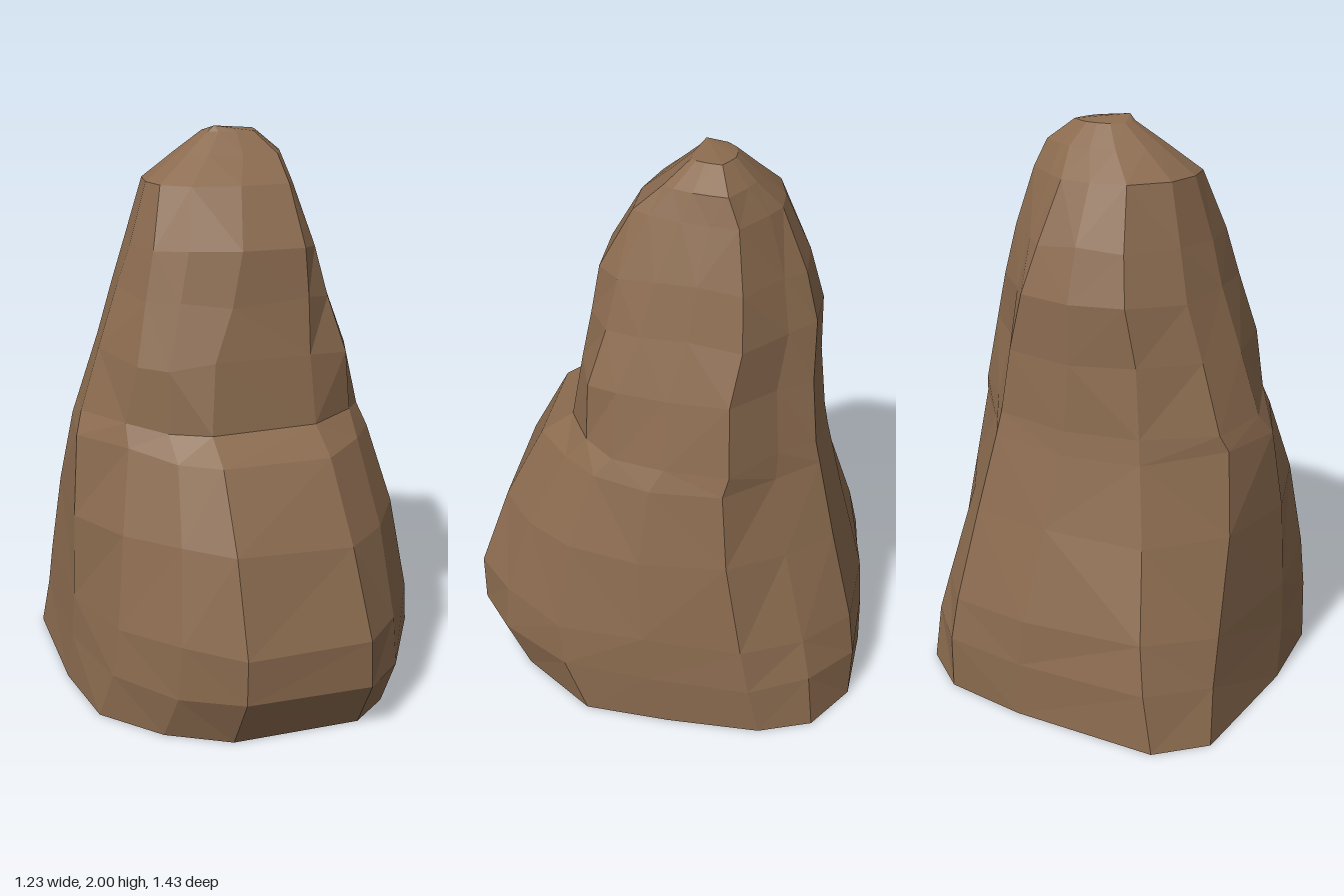
import * as THREE from 'three';

const { lerp } = THREE.MathUtils;

// Plan outlines in a -1..1 box, clockwise from the back right corner, as [x, z]
const baseOutline = [
  [-0.73, -0.95], [0.11, -1], [0.6, -0.965], [0.89, -0.78], [1, -0.5], [1, 0], [0.97, 0.45],
  [0.65, 0.85], [0.42, 1], [-0.32, 0.965], [-0.66, 0.77], [-0.94, 0.46], [-1, 0], [-0.97, -0.73],
];
const shoulderOutline = [
  [-0.5, -0.88], [0, -1], [0.5, -0.98], [0.7, -0.7], [0.99, -0.38], [0.98, 0.12], [0.88, 0.52],
  [0.7, 0.76], [0.4, 1], [-0.32, 1], [-0.54, 0.77], [-0.78, 0.46], [-1, 0], [-0.92, -0.48],
];
const waistOutline = [
  [-0.55, -0.85], [-0.05, -1], [0.5, -0.98], [0.66, -0.68], [1, -0.33], [0.95, 0.2], [0.87, 0.64],
  [0.77, 0.88], [0.4, 1], [-0.38, 1], [-0.68, 0.86], [-0.86, 0.66], [-1, 0], [-0.9, -0.45],
];
const topOutline = [
  [-0.55, -0.88], [-0.1, -1], [0.3, -1], [0.55, -0.85], [1, -0.5], [0.96, -0.1], [0.9, 0.3],
  [0.78, 0.75], [0.65, 1], [0, 1], [-0.6, 0.82], [-0.92, 0.5], [-1, 0.1], [-0.92, -0.4],
];
const outlines = [baseOutline, shoulderOutline, waistOutline, topOutline];
const outlineHeights = [0, 0.95, 1.2, 1.8];

// Cross-sections: y, min x, max x, min z, max z
const rings = [
  [0, -0.62, 0.61, -0.713, 0.62],
  [0.19, -0.612, 0.617, -0.718, 0.72],
  [0.36, -0.605, 0.605, -0.695, 0.722],
  [0.68, -0.59, 0.568, -0.605, 0.62],
  [0.95, -0.56, 0.52, -0.535, 0.475],
  [1.03, -0.53, 0.5, -0.52, 0.36],
  [1.25, -0.455, 0.445, -0.495, 0.315],
  [1.45, -0.385, 0.385, -0.49, 0.275],
  [1.62, -0.335, 0.335, -0.44, 0.245],
  [1.82, -0.27, 0.27, -0.345, 0.13],
  [1.91, -0.15, 0.24, -0.26, 0.03],
  [1.98, -0.05, 0.15, -0.19, -0.05],
];

// Small repeatable irregularity in -1..1
function rough(i, j) {
  const s = Math.sin(i * 12.99 + j * 78.23) * 43758.55;
  return (s - Math.floor(s)) * 2 - 1;
}

// Outline at height y, blended between the two nearest ones
function outlineAt(y) {
  let k = 0;
  while (k < outlines.length - 2 && y > outlineHeights[k + 1]) k++;
  const t = Math.min(1, (y - outlineHeights[k]) / (outlineHeights[k + 1] - outlineHeights[k]));
  return outlines[k].map(([x, z], i) => {
    const [x2, z2] = outlines[k + 1][i];
    return [lerp(x, x2, t), lerp(z, z2, t)];
  });
}

function ringPoints([y, x0, x1, z0, z1], r) {
  const amount = r > 0 && r < 9 ? 0.015 : 0;
  return outlineAt(y).map(([x, z], i) => {
    const shrink = 1 - 0.5 * amount * (1 + rough(i + 3, r));
    return new THREE.Vector3(
      (x0 + x1) / 2 + (x * shrink * (x1 - x0)) / 2,
      y + amount * rough(i, r + 5),
      (z0 + z1) / 2 + (z * shrink * (z1 - z0)) / 2,
    );
  });
}

function rockGeometry() {
  const loops = rings.map(ringPoints);
  const n = baseOutline.length;
  const positions = [];
  const tri = (...corners) => corners.forEach((p) => positions.push(p.x, p.y, p.z));
  // Facets between neighbouring loops, split along the shorter diagonal
  for (let r = 0; r < loops.length - 1; r++) {
    for (let i = 0; i < n; i++) {
      const j = (i + 1) % n;
      const a = loops[r][i], b = loops[r][j];
      const c = loops[r + 1][i], d = loops[r + 1][j];
      if (b.distanceTo(c) < a.distanceTo(d)) {
        tri(b, a, c);
        tri(b, c, d);
      } else {
        tri(b, a, d);
        tri(a, c, d);
      }
    }
  }
  // Peak; the underside stays open
  const peak = new THREE.Vector3(-0.02, 2, -0.08);
  const top = loops[loops.length - 1];
  for (let i = 0; i < n; i++) tri(top[(i + 1) % n], top[i], peak);

  const geometry = new THREE.BufferGeometry();
  geometry.setAttribute('position', new THREE.Float32BufferAttribute(positions, 3));
  geometry.computeVertexNormals();
  return geometry;
}

export function createModel() {
  const stone = new THREE.MeshStandardMaterial({
    color: 0x8b6b4f, flatShading: true, side: THREE.DoubleSide,
  });
  stone.name = 'brown stone';
  const rock = new THREE.Mesh(rockGeometry(), stone);
  rock.name = 'rock';
  const model = new THREE.Group();
  model.name = 'standingRock';
  model.add(rock);
  return model;
}
